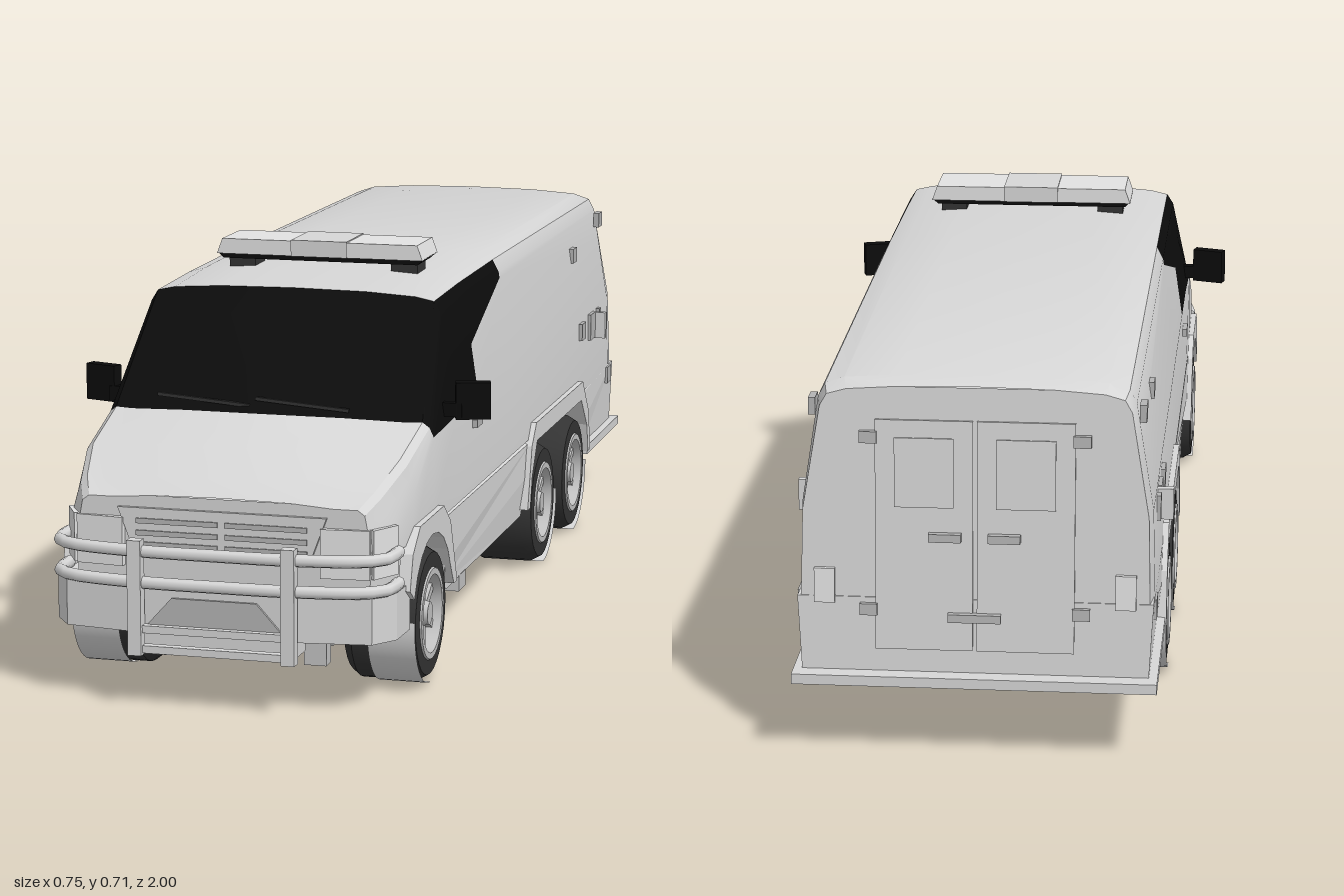
import * as THREE from 'three';
import { toCreasedNormals } from 'three/addons/utils/BufferGeometryUtils.js';

const mat = (name, color, extra = {}) => {
  const m = new THREE.MeshStandardMaterial({ color, ...extra });
  m.name = name;
  return m;
};

export function createModel() {
  const model = new THREE.Group();
  model.name = 'armouredVan';
  const paint = mat('pale grey paint', 0xd6d6d6, { side: THREE.DoubleSide });
  const glass = mat('black glass', 0x0c0c0c);
  const rubber = mat('tyre rubber', 0x333333);
  const rimDark = mat('wheel dish grey', 0x707070);
  const metal = mat('chassis metal', 0xc2c2c2);
  const lens = mat('lamp lens', 0xe2e2e2);
  const trim = mat('panel grey', 0xb4b4b4);

  const add = (name, geo, material, parent = model) => {
    const m = new THREE.Mesh(geo, material);
    m.name = name;
    parent.add(m);
    return m;
  };
  const box = (name, w, h, d, x, y, z, material, parent) => {
    const m = add(name, new THREE.BoxGeometry(w, h, d), material, parent);
    m.position.set(x, y, z);
    return m;
  };
  const shapeOf = pts => new THREE.Shape(pts.map(p => new THREE.Vector2(p[0], p[1])));
  const extrude = (pts, depth) => new THREE.ExtrudeGeometry(shapeOf(pts), { depth, bevelEnabled: false });
  // outline in (z, y), thickness from x0 to x1
  const sideExtrude = (pts, x0, x1) => extrude(pts, x1 - x0).rotateY(-Math.PI / 2).translate(x1, 0, 0);
  // outline in (x, z), height from y0 to y1
  const planExtrude = (pts, y0, y1) => extrude(pts, y1 - y0).rotateX(Math.PI / 2).translate(0, y1, 0);
  const tube = (name, pts, r, material) => add(name, new THREE.TubeGeometry(
    new THREE.CatmullRomCurve3(pts.map(p => new THREE.Vector3(...p)), false, 'centripetal'), 24, r, 8), material);
  const both = fn => [1, -1].forEach(fn);

  // --- upper body: lofted cross-sections from nose to tail ---
  // z, bottom half width, belt x, belt y, mid y, shoulder x, shoulder y, top y, forward bow
  const sections = [
    [0.925, 0.262, 0.258, 0.30, 0.325, 0.250, 0.342, 0.358, 0],
    [0.88, 0.287, 0.284, 0.31, 0.340, 0.268, 0.365, 0.383, 0.01],
    [0.79, 0.301, 0.300, 0.35, 0.380, 0.288, 0.402, 0.422, 0.02],
    [0.65, 0.302, 0.300, 0.425, 0.434, 0.293, 0.442, 0.460, 0.045],
    [0.48, 0.302, 0.298, 0.43, 0.540, 0.270, 0.618, 0.652, 0.01],
    [0.30, 0.302, 0.298, 0.43, 0.530, 0.270, 0.620, 0.660, 0],
    [0.02, 0.302, 0.298, 0.43, 0.610, 0.270, 0.621, 0.664, 0],
    [-0.91, 0.302, 0.298, 0.43, 0.550, 0.268, 0.618, 0.660, 0],
    [-0.938, 0.296, 0.292, 0.43, 0.550, 0.262, 0.610, 0.648, 0],
  ];
  const pos = [], faces = [[], []], N = 15, last = sections.length - 1;
  sections.forEach(([z, b, bx, by, my, sx, sy, ty, bow], i) => {
    const mx = bx + (sx - bx) * (my - by) / (sy - by);
    const half = [[b, 0.27], [bx, by], [mx, my], [sx, sy], [sx - 0.012, sy + 0.55 * (ty - sy)],
      [sx - 0.045, ty - 0.008], [sx * 0.5, ty - 0.002], [0, ty]];
    const ring = [...half, ...half.slice(0, 7).reverse().map(([x, y]) => [-x, y])];
    ring.forEach(([x, y]) => pos.push(x, y,
      z + bow * (1 - (x / 0.3) ** 2) - (i === last ? 0.06 * (0.65 - y) : 0)));
  });
  const isGlass = (i, s) => (i === 3 && s >= 1) || (i === 4 && s >= 1 && s <= 3) || (i === 5 && (s === 2 || s === 3));
  for (let i = 0; i < last; i++) {
    for (let j = 0; j < N - 1; j++) {
      const a = i * N + j, d = a + N;
      faces[isGlass(i, Math.min(j, 13 - j)) ? 1 : 0].push(a, d, d + 1, a, d + 1, a + 1);
    }
    const r = i * N, l = r + N - 1;
    faces[0].push(r, l, r + N, l, l + N, r + N);
  }
  for (let j = 0; j < 7; j++) {
    const t = last * N;
    faces[0].push(j, j + 1, 13 - j, t + j, t + 13 - j, t + j + 1);
    if (j < 6) faces[0].push(j, 13 - j, 14 - j, t + j, t + 14 - j, t + 13 - j);
  }
  faces[0].push(6, 8, 8); // closes the nose crown
  const shell = new THREE.BufferGeometry();
  shell.setAttribute('position', new THREE.Float32BufferAttribute(pos, 3));
  shell.setIndex([...faces[0], ...faces[1]]);
  shell.addGroup(0, faces[0].length, 0);
  shell.addGroup(faces[0].length, faces[1].length, 1);
  add('bodyShellAndWindows', toCreasedNormals(shell, 0.45), [paint, glass]);

  // --- lower body with wheel openings ---
  const arch = [];
  for (let k = 0; k <= 10; k++) {
    const a = 0.1 + (Math.PI - 0.2) * k / 10;
    arch.push([0.70 + 0.14 * Math.cos(a), 0.125 + 0.14 * Math.sin(a)]);
  }
  const rearArch = [[-0.09, 0.14], [-0.105, 0.20], [-0.15, 0.263], [-0.58, 0.263], [-0.64, 0.20], [-0.655, 0.14]];
  const lower = sideExtrude([[0.925, 0.28], [0.925, 0.15], ...arch, [0.53, 0.125], [-0.08, 0.125], ...rearArch,
    [-0.97, 0.14], [-0.962, 0.28]], -0.302, 0.302);
  const lp = lower.attributes.position;
  for (let i = 0; i < lp.count; i++) {
    const k = (lp.getY(i) < 0.16 ? 0.975 : 1) * (lp.getZ(i) > 0.9 ? 0.868 : 1);
    lp.setX(i, lp.getX(i) * k);
  }
  lower.computeVertexNormals();
  add('lowerBody', lower, paint);

  // wheel arch flares
  const flares = [
    [[0.86, 0.20], ...arch.slice(1, 10), [0.545, 0.14], [0.52, 0.14], [0.57, 0.26], [0.62, 0.298], [0.79, 0.298], [0.84, 0.26]],
    [...rearArch, [-0.68, 0.14], [-0.655, 0.23], [-0.595, 0.30], [-0.14, 0.30], [-0.10, 0.26], [-0.065, 0.14]],
  ];
  both(s => flares.forEach(f => add('archFlare', sideExtrude(f, s > 0 ? 0.29 : -0.312, s > 0 ? 0.312 : -0.29), paint)));

  // rear step and floor plate
  box('rearStep', 0.62, 0.018, 0.345, 0, 0.142, -0.8275, paint);

  // --- nose: bumper, grille, lamps, bull bar ---
  add('frontBumper', planExtrude([[0.305, 0.835], [0.302, 0.91], [0.27, 0.955], [0.14, 0.973], [-0.14, 0.973],
    [-0.27, 0.955], [-0.302, 0.91], [-0.305, 0.835]], 0.128, 0.21), paint);
  box('frontValance', 0.28, 0.035, 0.05, 0, 0.115, 0.93, paint);
  add('bumperPanel', extrude([[-0.12, 0.142], [0.12, 0.142], [0.075, 0.192], [-0.075, 0.192]], 0.006).translate(0, 0, 0.972), trim);
  add('grilleSurround', extrude([[-0.155, 0.255], [0.155, 0.255], [0.185, 0.335], [-0.185, 0.335]], 0.008).translate(0, 0, 0.924), paint);
  both(s => {
    [0.272, 0.292, 0.313].forEach(y => box('grilleSlot', 0.145, 0.009, 0.004, s * 0.079, y, 0.933, trim));
    const lamp = box('headlight', 0.085, 0.085, 0.03, s * 0.216, 0.275, 0.918, lens);
    lamp.rotation.y = s * 0.1;
    const corner = box('cornerLamp', 0.012, 0.085, 0.06, s * 0.275, 0.275, 0.895, lens);
    corner.rotation.y = -s * 0.5;
    box('bullBarUpright', 0.024, 0.2, 0.022, s * 0.135, 0.193, 0.987, paint);
  });
  [0.272, 0.218].forEach(y => tube('bullBarRail', [[-0.295, y, 0.87], [-0.29, y, 0.93], [-0.26, y, 0.958], [-0.135, y, 0.982],
    [0, y, 0.985], [0.135, y, 0.982], [0.26, y, 0.958], [0.29, y, 0.93], [0.295, y, 0.87]], 0.011, paint));
  [0.138, 0.103].forEach(y => box('bullBarCrossbar', 0.26, 0.013, 0.016, 0, y, 0.982, paint));

  // wipers
  both(s => {
    const w = box('wiper', 0.17, 0.006, 0.008, s * 0.09 - 0.02, 0.477, 0.678, rubber);
    w.rotation.z = -0.08;
  });

  // --- mirrors, handles, hinges ---
  both(s => {
    const mirror = box('mirrorHousing', 0.062, 0.066, 0.022, s * 0.344, 0.473, 0.54, glass);
    mirror.rotation.y = s * 0.3;
    box('mirrorArm', 0.04, 0.025, 0.018, s * 0.308, 0.457, 0.55, glass);
    box('doorHandle', 0.012, 0.015, 0.045, s * 0.302, 0.392, 0.33, trim);
    box('sideLockPlate', 0.008, 0.055, 0.05, s * 0.301, 0.395, -0.73, trim);
    box('sideLockHandle', 0.03, 0.055, 0.014, s * 0.311, 0.393, -0.76, paint);
    box('sideLatch', 0.01, 0.045, 0.02, s * 0.301, 0.40, -0.80, trim);
    [[0.56, -0.63], [0.60, -0.895]].forEach(([y, z]) => box('sideHinge', 0.012, 0.03, 0.035, s * 0.279, y, z, trim));
    [[0.40, -0.63], [0.26, -0.91]].forEach(([y, z]) => box('sideHinge', 0.01, 0.035, 0.04, s * 0.301, y, z, trim));
  });

  // --- rear doors, on the slightly sloped tail ---
  const tail = new THREE.Group();
  tail.name = 'rearDoors';
  tail.position.set(0, 0.40, -0.953);
  tail.rotation.x = 0.06;
  model.add(tail);
  both(s => {
    box('rearDoorPanel', 0.165, 0.40, 0.006, s * 0.086, -0.01, -0.002, paint, tail);
    box('rearWindowPlate', 0.10, 0.12, 0.008, s * 0.086, 0.10, -0.004, paint, tail);
    box('rearDoorHandle', 0.055, 0.014, 0.018, s * 0.05, -0.01, -0.01, trim, tail);
    box('rearLamp', 0.035, 0.06, 0.01, s * 0.255, -0.10, -0.004, lens, tail);
    [0.16, -0.14].forEach(y => box('rearHinge', 0.03, 0.02, 0.012, s * 0.18, y, -0.005, trim, tail));
  });
  box('rearGrabBar', 0.09, 0.014, 0.016, 0, -0.15, -0.01, trim, tail);

  // --- roof light bar ---
  add('lightBarBase', extrude([[-0.185, 0.674], [0.185, 0.674], [0.196, 0.684], [-0.196, 0.684]], 0.1).translate(0, 0, 0.215), glass);
  add('lightBarLens', extrude([[-0.196, 0.683], [0.196, 0.683], [0.186, 0.711], [-0.186, 0.711]], 0.115).translate(0, 0, 0.207), lens);
  box('lightBarCentre', 0.106, 0.03, 0.121, 0, 0.698, 0.2645, paint);
  both(s => box('lightBarFoot', 0.05, 0.024, 0.06, s * 0.155, 0.665, 0.265, rubber));

  // --- wheels ---
  const lathe = pts => toCreasedNormals(new THREE.LatheGeometry(pts.map(p => new THREE.Vector2(...p)), 28).rotateZ(-Math.PI / 2), 0.6);
  const tyreGeo = lathe([[0.001, -0.058], [0.08, -0.06], [0.106, -0.065], [0.118, -0.05], [0.118, 0.045], [0.108, 0.063], [0.082, 0.064], [0.078, 0.05]]);
  const dishGeo = lathe([[0.08, 0.034], [0.001, 0.034]]);
  const rimGeo = lathe([[0.083, 0.06], [0.08, 0.067], [0.069, 0.067], [0.066, 0.034]]);
  const hubGeo = new THREE.CylinderGeometry(0.02, 0.026, 0.03, 14).rotateZ(-Math.PI / 2);
  const axleZ = [0.70, -0.22, -0.515];
  axleZ.forEach((z, n) => both(s => {
    const wheel = new THREE.Group();
    wheel.name = 'wheel';
    wheel.position.set(s * 0.245, 0.123, z);
    wheel.rotation.y = s > 0 ? 0 : Math.PI;
    model.add(wheel);
    add('tyre', tyreGeo, rubber, wheel);
    add('wheelDish', dishGeo, rimDark, wheel);
    add('rim', rimGeo, metal, wheel);
    add('hub', hubGeo, metal, wheel).position.x = 0.047;
    for (let k = 0; k < 6; k++) {
      const spoke = box('spoke', 0.016, 0.07, 0.015, 0.044, 0, 0, metal, wheel);
      spoke.rotation.x = k * Math.PI / 3;
      spoke.translateY(0.035);
    }
    // pale guard wrapped on the lower outer tread
    const guard = add('treadGuard', new THREE.CylinderGeometry(0.121, 0.121, 0.085, 14, 1, true,
      n === 0 ? -0.1 : Math.PI / 2, 1.6).rotateZ(-Math.PI / 2), paint);
    guard.position.set(s * 0.268, 0.123, z);
  }));

  // --- chassis ---
  both(s => {
    box('chassisRail', 0.03, 0.035, 1.55, s * 0.11, 0.117, 0.13, metal);
    axleZ.forEach(z => box('leafSpring', 0.025, 0.016, 0.22, s * 0.15, 0.09, z, metal));
    box('springBracket', 0.04, 0.07, 0.03, s * 0.14, 0.09, 0.83, metal);
    box('sideStepBracket', 0.05, 0.03, 0.05, s * 0.27, 0.112, 0.41, metal);
  });
  axleZ.forEach(z => {
    const axle = add('axle', new THREE.CylinderGeometry(0.016, 0.016, 0.40, 10).rotateZ(Math.PI / 2), metal);
    axle.position.set(0, 0.115, z);
    const diff = add('differential', new THREE.SphereGeometry(0.045, 14, 10), metal);
    diff.position.set(0, 0.115, z);
  });
  [0.88, 0.52, 0.28, 0.0, -0.37].forEach(z => box('crossMember', 0.24, 0.022, 0.03, 0, 0.115, z, metal));
  box('gearbox', 0.09, 0.05, 0.16, 0, 0.105, 0.36, metal);
  add('driveShaft', new THREE.CylinderGeometry(0.012, 0.012, 1.2, 8).rotateX(Math.PI / 2), metal).position.set(0, 0.11, 0.09);

  return model;
}
